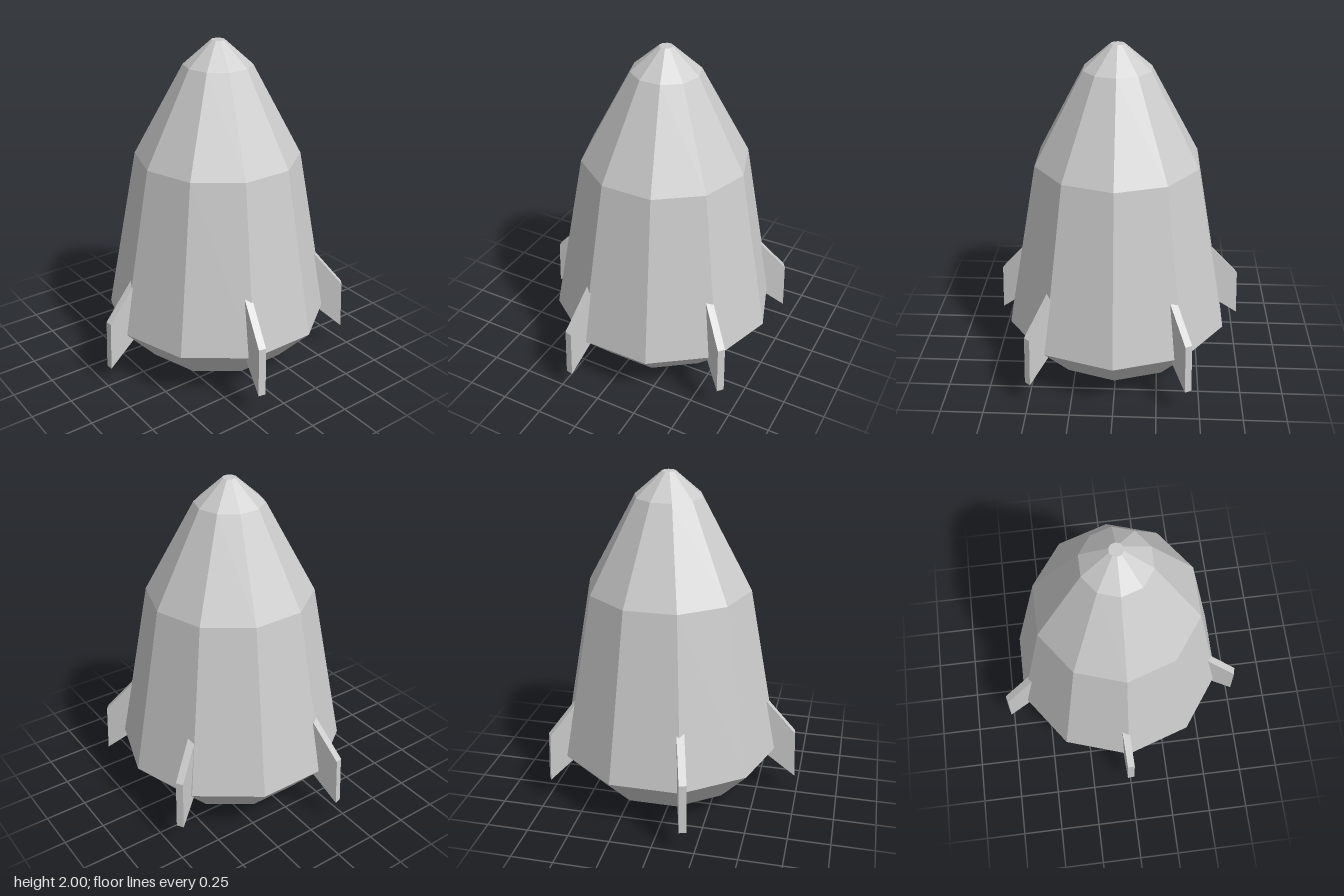
import * as THREE from 'three';

const CENTRE_Z = -0.0625;

// Ten-sided hull: shallow nozzle recess, rounded base, tapering walls, blunt nose
function hull(material) {
  const profile = [
    [0, 0.04], [0.295, 0.04], [0.305, 0], [0.319, 0], [0.473, 0.09],
    [0.677, 0.315], [0.49, 1.325], [0.2, 1.86], [0.04, 2], [0, 2],
  ].map(([r, y]) => new THREE.Vector2(r, y));
  const mesh = new THREE.Mesh(new THREE.LatheGeometry(profile, 10), material);
  mesh.name = 'hull';
  mesh.position.z = CENTRE_Z;
  return mesh;
}

// Swept fin plate; the origin is its outer lower corner and +x points outward
function finGeometry(thickness = 0.044) {
  const shape = new THREE.Shape([
    [0, 0], [-0.012, 0.3], [-0.26, 0.585], [-0.26, 0.205],
  ].map(([x, y]) => new THREE.Vector2(x, y)));
  return new THREE.ExtrudeGeometry(shape, { depth: thickness, bevelEnabled: false })
    .translate(0, 0, -thickness / 2);
}

export function createModel() {
  const group = new THREE.Group();
  group.name = 'rocket';
  const material = new THREE.MeshStandardMaterial({ color: 0xcccccc, flatShading: true });
  group.add(hull(material));

  // Each fin: name, outer corner, and a point further in that sets its heading
  const fins = [
    ['frontFin', [0, 0.13, 0.735], [-0.014, 0.557]],
    ['leftFin', [0.765, 0.145, 0.181], [0.567, 0.136]],
    ['rightFin', [-0.764, 0.14, 0.188], [-0.594, 0.138]],
    ['backLeftFin', [0.493, 0.165, -0.685], [0.371, -0.544]],
    ['backRightFin', [-0.43, 0.165, -0.715], [-0.342, -0.573]],
  ];
  const geometry = finGeometry();
  for (const [name, [x, y, z], [innerX, innerZ]] of fins) {
    const fin = new THREE.Mesh(geometry, material);
    fin.name = name;
    fin.position.set(x, y, z);
    fin.rotation.y = Math.atan2(innerZ - z, x - innerX);
    group.add(fin);
  }
  return group;
}
